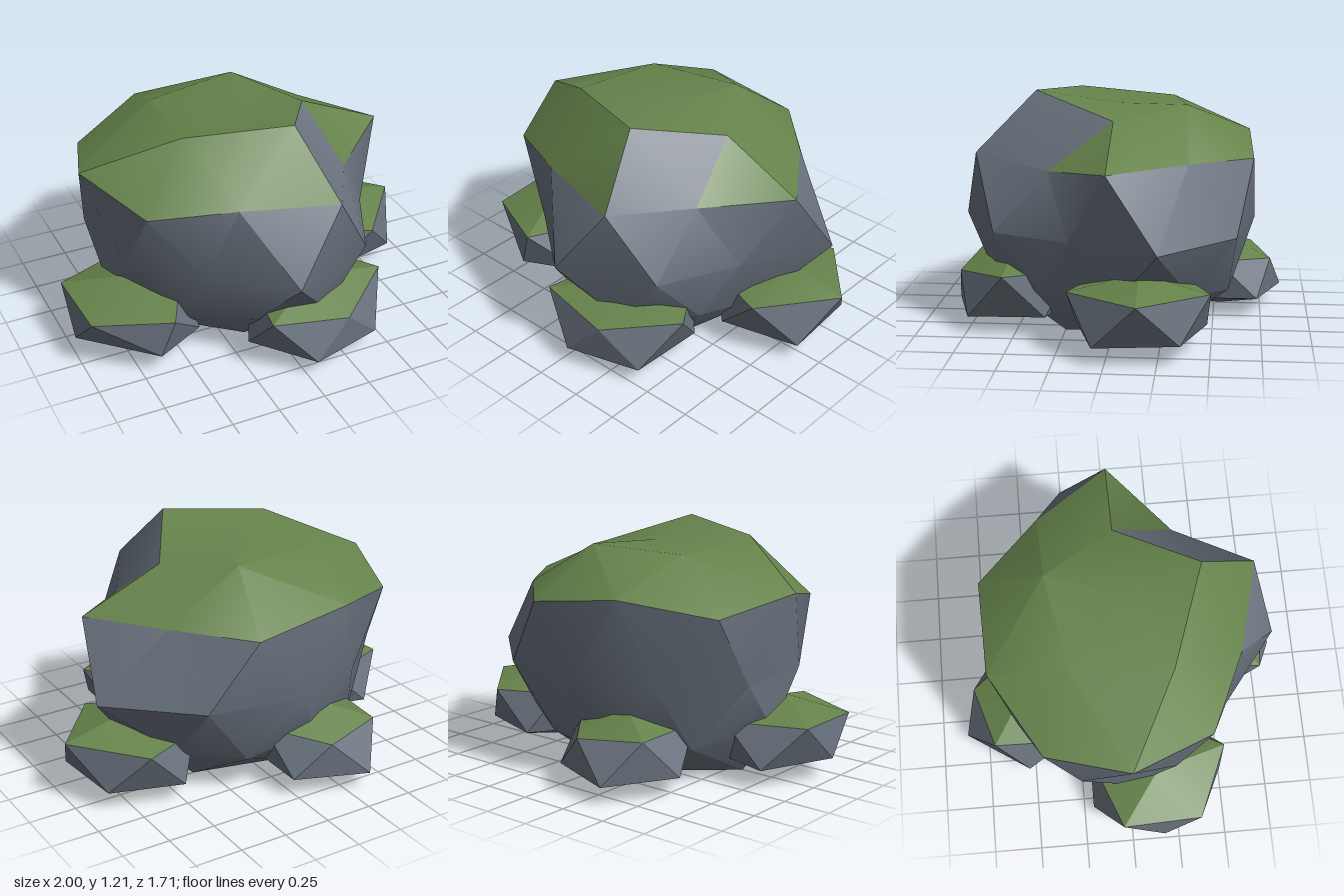
import * as THREE from 'three';
import { toCreasedNormals } from 'three/addons/utils/BufferGeometryUtils.js';

const stone = new THREE.MeshStandardMaterial({ color: 0x6b7480 });
stone.name = 'grey stone';
const moss = new THREE.MeshStandardMaterial({ color: 0x66834b });
moss.name = 'green moss';

// Mesh from two triangle lists: bare stone and moss-covered faces
function rockMesh(name, stoneTris, mossTris, crease) {
  const points = [...stoneTris, ...mossTris].flat();
  const geo = new THREE.BufferGeometry();
  geo.setAttribute('position', new THREE.Float32BufferAttribute(points.flat(), 3));
  geo.addGroup(0, stoneTris.length * 3, 0);
  geo.addGroup(stoneTris.length * 3, mossTris.length * 3, 1);
  const mesh = new THREE.Mesh(toCreasedNormals(geo, crease), [stone, moss]);
  mesh.name = name;
  return mesh;
}

const at = (ring, i) => ring[(i + ring.length) % ring.length];

// Large boulder: a once-subdivided icosahedron, ring by ring from crown to base
function boulder() {
  const top = [0, 1.135, 0];
  const crown = [[0.36, 1.09, 0], [0.10, 1.21, 0.42], [-0.42, 1.17, 0.24], [-0.38, 1.13, -0.27], [0.12, 1.145, -0.36]];
  const shoulder = [
    [0.80, 0.90, 0], [0.44, 0.85, 0.32], [0.21, 0.90, 0.72], [-0.28, 0.92, 0.60], [-0.68, 0.87, 0.42],
    [-0.87, 0.96, 0], [-0.73, 0.88, -0.43], [-0.31, 0.96, -0.68], [0.21, 0.89, -0.70], [0.53, 0.91, -0.38],
  ];
  const waist = [
    [0.62, 0.53, 0.20], [0.43, 0.53, 0.60], [-0.05, 0.53, 0.82], [-0.43, 0.53, 0.53], [-0.74, 0.53, 0.24],
    [-0.78, 0.53, -0.25], [-0.45, 0.53, -0.56], [-0.05, 0.53, -0.71], [0.45, 0.53, -0.62], [0.86, 0.53, -0.25],
  ];
  const foot = [
    [0.60, 0.20, 0], [0.50, 0.25, 0.36], [0.20, 0.22, 0.62], [-0.20, 0.26, 0.60], [-0.47, 0.20, 0.35],
    [-0.75, 0.25, 0], [-0.55, 0.20, -0.40], [-0.20, 0.24, -0.58], [0.20, 0.20, -0.58], [0.50, 0.24, -0.40],
  ];
  const base = [[0.32, 0, 0.25], [-0.14, 0, 0.36], [-0.57, 0, 0], [-0.14, 0, -0.36], [0.32, 0, -0.25]];
  const bottom = [0, 0, 0];

  const bare = [], mossy = [];
  for (let k = 0; k < 5; k++) {
    const m = crown[k], n = at(crown, k + 1);
    const v = shoulder[2 * k], w = shoulder[2 * k + 1], u = at(shoulder, 2 * k + 2);
    // Mossy cap, with one bare strip running up to the peak
    const strip = k === 0 ? bare : mossy;
    mossy.push([top, n, m], [m, w, v]);
    strip.push([w, m, n], [n, u, w]);
    // Underside
    const b = base[k], c = at(base, k + 1), f = 2 * k + 1;
    bare.push([b, foot[f], at(foot, f + 1)], [b, at(foot, f - 1), foot[f]]);
    bare.push([at(foot, f + 1), c, b], [bottom, b, c]);
  }
  // Side walls
  for (let i = 0; i < 10; i++) {
    bare.push([waist[i], shoulder[i], at(shoulder, i + 1)], [shoulder[i], waist[i], at(waist, i - 1)]);
    bare.push([foot[i], at(waist, i - 1), waist[i]], [waist[i], at(foot, i + 1), foot[i]]);
  }
  return rockMesh('boulder', bare, mossy, 0.5);
}

// Small rock: an uneven icosahedron with a mossy top
function smallRock(name, top, upper, lower, bottom) {
  const bare = [], mossy = [];
  for (let k = 0; k < 5; k++) {
    const u = upper[k], u2 = at(upper, k + 1), l = lower[k], l2 = at(lower, k + 1);
    mossy.push([top, u2, u]);
    bare.push([l, u, u2], [u2, l2, l], [bottom, l, l2]);
  }
  return rockMesh(name, bare, mossy, 0.4);
}

export function createModel() {
  const group = new THREE.Group();
  group.name = 'mossy rocks';
  group.add(
    boulder(),
    smallRock('frontRock', [0.16, 0.40, 0.53],
      [[0.55, 0.33, 0.54], [0.23, 0.28, 0.81], [-0.17, 0.32, 0.76], [-0.10, 0.32, 0.32], [0.34, 0.32, 0.22]],
      [[0.43, 0.09, 0.74], [0.04, 0.09, 0.85], [-0.21, 0.10, 0.56], [0.06, 0.10, 0.22], [0.45, 0.10, 0.34]],
      [0.14, 0.005, 0.54]),
    smallRock('rightRock', [-0.72, 0.40, 0.15],
      [[-0.42, 0.31, 0.18], [-0.59, 0.31, 0.52], [-0.97, 0.30, 0.36], [-0.99, 0.31, -0.05], [-0.60, 0.31, -0.20]],
      [[-0.38, 0.09, 0.33], [-0.66, 0.11, 0.50], [-1.0, 0.11, 0.17], [-0.82, 0.10, -0.20], [-0.45, 0.10, -0.10]],
      [-0.70, 0.005, 0.16]),
    smallRock('leftRock', [0.67, 0.40, -0.15],
      [[1.0, 0.32, -0.16], [0.71, 0.31, 0.20], [0.38, 0.31, 0.08], [0.38, 0.31, -0.36], [0.70, 0.31, -0.50]],
      [[0.90, 0.09, 0.06], [0.50, 0.11, 0.18], [0.28, 0.10, -0.15], [0.50, 0.10, -0.48], [0.87, 0.10, -0.36]],
      [0.60, 0.005, -0.16]),
    smallRock('backRock', [-0.24, 0.40, -0.53],
      [[0.06, 0.31, -0.52], [-0.12, 0.31, -0.22], [-0.50, 0.31, -0.32], [-0.49, 0.30, -0.70], [-0.16, 0.28, -0.80]],
      [[0.02, 0.10, -0.34], [-0.34, 0.10, -0.20], [-0.58, 0.10, -0.53], [-0.36, 0.09, -0.86], [0.02, 0.10, -0.73]],
      [-0.24, 0.005, -0.53]),
  );
  return group;
}
